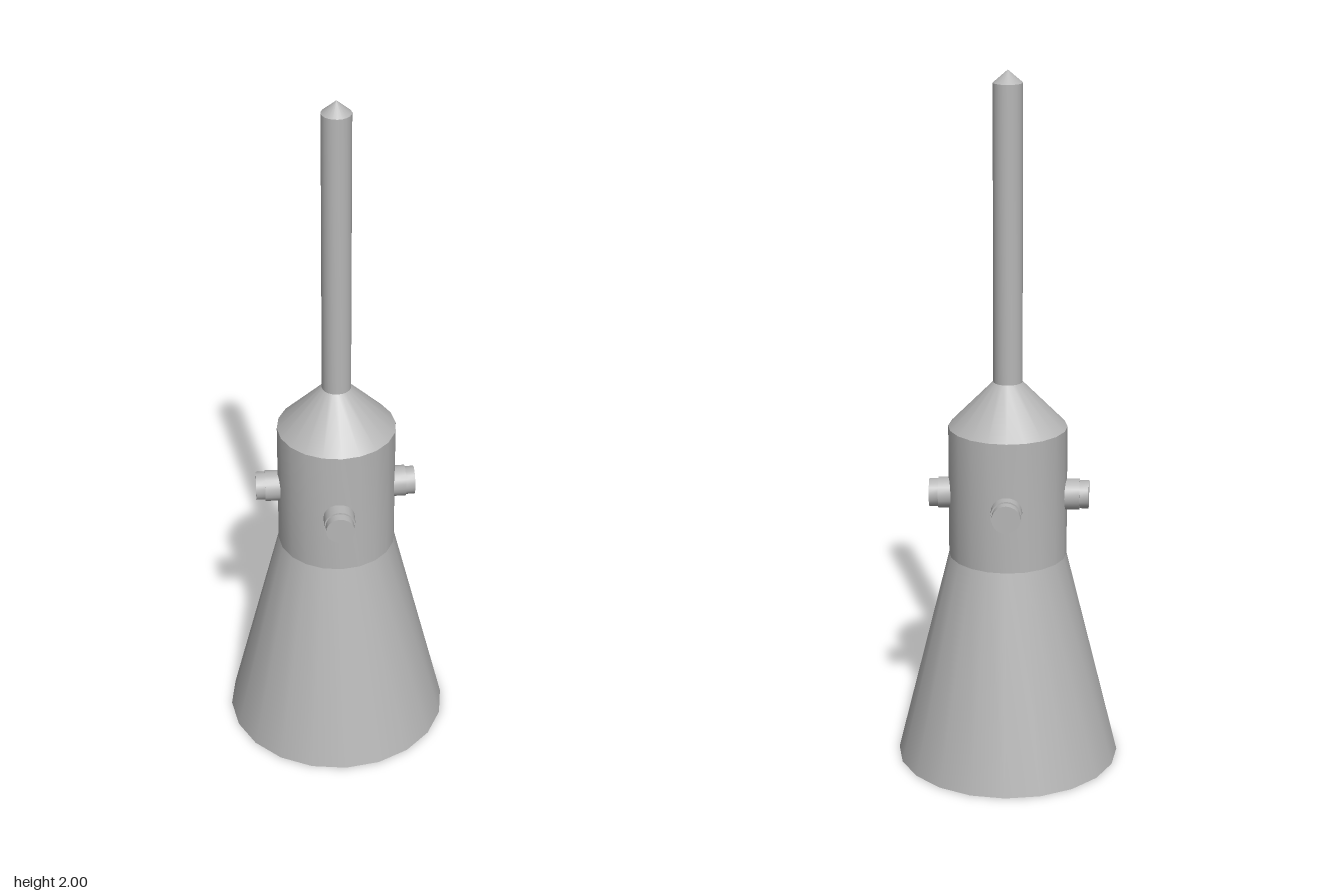
import * as THREE from 'three';
import { toCreasedNormals } from 'three/addons/utils/BufferGeometryUtils.js';

const SIDES = 20;

export function createModel() {
  const model = new THREE.Group();
  model.name = 'escapeTower';

  const grey = new THREE.MeshStandardMaterial({ color: 0xb6b6b6, side: THREE.DoubleSide });
  grey.name = 'light grey';

  // Turned part from [radius, height] pairs, smooth around and creased at its rings
  const turned = (name, profile, parent = model) => {
    const points = profile.map(([r, y]) => new THREE.Vector2(r, y));
    const geometry = toCreasedNormals(new THREE.LatheGeometry(points, SIDES), 0.5);
    const mesh = new THREE.Mesh(geometry, grey);
    mesh.name = name;
    parent.add(mesh);
    return mesh;
  };

  // Open flared skirt, body with sloping shoulder, and thin mast with pointed tip
  turned('skirt', [[0.32, 0], [0.168, 0.62]]);
  turned('body', [[0.168, 0.62], [0.168, 1.0], [0.041, 1.13]]);
  turned('mast', [[0.041, 1.13], [0.041, 1.965], [0, 2.0]]);

  // Four stepped knobs around the body; front and right ones sit slightly askew
  const knobs = [
    ['leftKnob', Math.PI / 2, 0.223, 0],
    ['backKnob', Math.PI, 0.223, 0],
    ['frontKnob', 0, 0.23, -0.04],
    ['rightKnob', -Math.PI / 2, 0.23, -0.04],
  ];
  for (const [name, angle, reach, skew] of knobs) {
    const knob = new THREE.Group();
    knob.name = name;
    knob.position.y = 0.8;
    knob.rotation.y = angle + skew;
    const stem = turned('knobStem', [[0.044, 0.15], [0.044, reach - 0.026], [0.04, reach - 0.026],
      [0.04, reach], [0, reach]], knob);
    stem.rotation.x = Math.PI / 2;
    model.add(knob);
  }

  return model;
}
